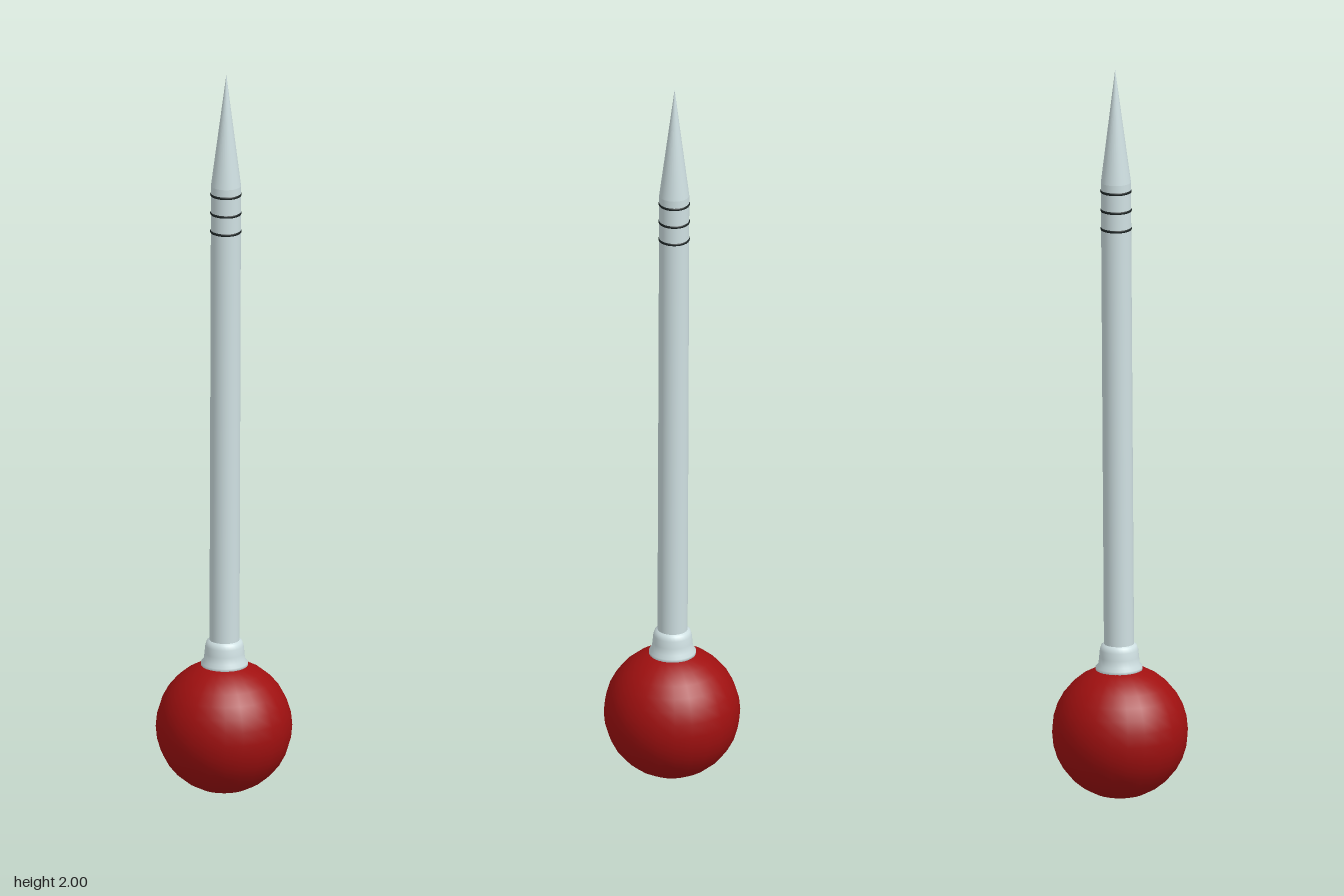
import * as THREE from 'three';

const mat = (color) => new THREE.MeshStandardMaterial({ color });

function part(name, geometry, material) {
  const mesh = new THREE.Mesh(geometry, material);
  mesh.name = name;
  return mesh;
}

export function createModel() {
  const model = new THREE.Group();
  model.name = 'ballHeadPin';
  const metal = mat(0xcfe0e2);
  const red = mat(0xa01010);
  const dark = mat(0x1c2424);

  // Round head
  const head = part('head', new THREE.SphereGeometry(0.181, 24, 16), red);
  head.position.y = 0.181;
  model.add(head);

  // Needle assembly, leaning very slightly backwards
  const needle = new THREE.Group();
  needle.name = 'needle';
  needle.rotation.x = -0.0065;
  model.add(needle);

  // Flared collar with a rounded shoulder
  const collarProfile = [
    [0.04, 0.335], [0.062, 0.345], [0.0625, 0.358], [0.055, 0.366],
    [0.053, 0.385], [0.051, 0.405], [0.047, 0.417], [0.038, 0.422],
  ].map(([r, y]) => new THREE.Vector2(r, y));
  needle.add(part('collar', new THREE.LatheGeometry(collarProfile, 32), metal));

  // Straight shaft
  const shaftBottom = 0.3, shaftTop = 1.69;
  const shaft = part('shaft',
    new THREE.CylinderGeometry(0.04, 0.04, shaftTop - shaftBottom, 32, 1, true), metal);
  shaft.position.y = (shaftBottom + shaftTop) / 2;
  needle.add(shaft);

  // Pointed tip
  const tip = part('tip', new THREE.ConeGeometry(0.04, 2 - shaftTop, 32, 1, true), metal);
  tip.position.y = (2 + shaftTop) / 2;
  needle.add(tip);

  // Dark bands below the tip
  for (const y of [1.563, 1.614, 1.666]) {
    const band = part('band', new THREE.TorusGeometry(0.0375, 0.0045, 8, 32), dark);
    band.rotation.x = Math.PI / 2;
    band.position.y = y;
    needle.add(band);
  }

  return model;
}
